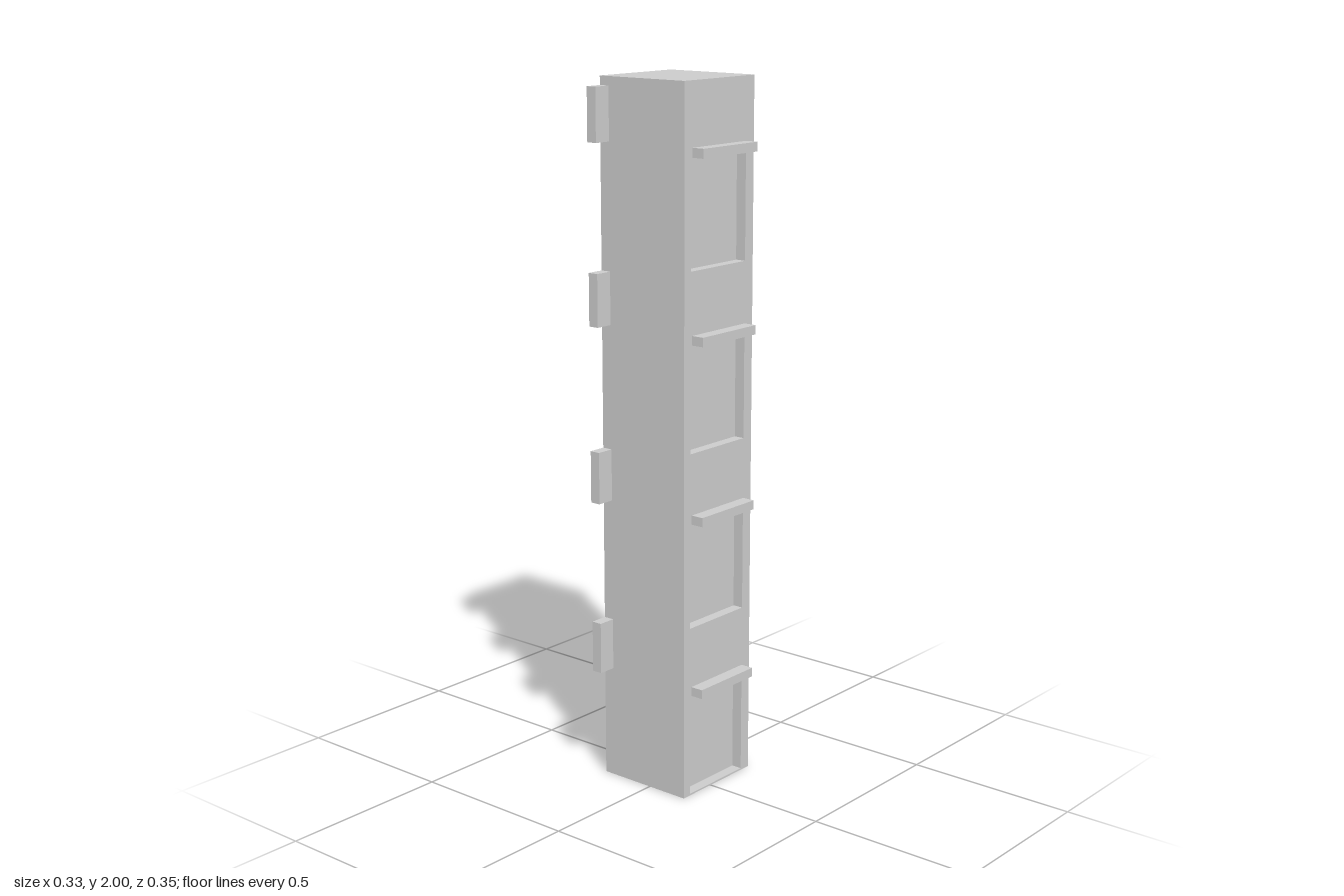
import * as THREE from 'three';

const W = 0.294, D = 0.293, H = 2;         // tower body
const CX = -0.02, CZ = -0.0265;            // body centre
const STOREYS = 4, STEP = 0.5, RECESS = 0.031;
const DOOR_Z = -0.023, DOOR_W = 0.232;

export function createModel() {
  const model = new THREE.Group();
  const solid = new THREE.MeshStandardMaterial({ color: 0xcccccc, flatShading: true });
  const open = new THREE.MeshStandardMaterial({ color: 0xcccccc, flatShading: true, side: THREE.DoubleSide });

  const add = (parent, name, geometry, material, x = 0, y = 0, z = 0) => {
    const mesh = new THREE.Mesh(geometry, material);
    mesh.name = name;
    mesh.position.set(x, y, z);
    parent.add(mesh);
    return mesh;
  };

  // A flat wall facing local +z, with rectangular recesses sunk into it
  const addWall = (name, width, dist, angle, openings = [], recessName = '') => {
    const wall = new THREE.Group();
    wall.name = name;
    wall.rotation.y = angle;
    wall.position.set(CX + Math.sin(angle) * dist, 0, CZ + Math.cos(angle) * dist);
    const rect = (Type, x0, x1, y0, y1) => new Type([
      new THREE.Vector2(x0, y0), new THREE.Vector2(x1, y0),
      new THREE.Vector2(x1, y1), new THREE.Vector2(x0, y1)]);
    const shape = rect(THREE.Shape, -width / 2, width / 2, 0, H);
    for (const { x, w, y0, y1 } of openings) {
      shape.holes.push(rect(THREE.Path, x - w / 2, x + w / 2, y0, y1));
      // Lining: a box without its outward face
      const lining = new THREE.BoxGeometry(w, y1 - y0, RECESS);
      const index = Array.from(lining.index.array);
      index.splice(24, 6);
      lining.setIndex(index);
      lining.clearGroups();
      add(wall, recessName, lining, open, x, (y0 + y1) / 2, -RECESS / 2);
    }
    add(wall, name + 'Face', new THREE.ShapeGeometry(shape), solid);
    model.add(wall);
  };

  // Doorways repeat on both sides, windows on the back
  const doors = (sign) => Array.from({ length: STOREYS }, (_, i) => ({
    x: sign * (DOOR_Z - CZ), w: DOOR_W, y0: Math.max(i * STEP, 0.005), y1: i * STEP + 0.3 }));
  const windows = Array.from({ length: STOREYS }, (_, i) => ({
    x: 0, w: 0.23, y0: i * STEP + 0.327, y1: i * STEP + 0.975 - 0.5 }));

  addWall('frontWall', W, D / 2, 0);
  addWall('leftWall', D, W / 2, Math.PI / 2, doors(-1), 'leftDoorRecess');
  addWall('rightWall', D, W / 2, -Math.PI / 2, doors(1), 'rightDoorRecess');
  addWall('backWall', W, D / 2, Math.PI, windows, 'windowRecess');

  // Roof and base
  add(model, 'roof', new THREE.PlaneGeometry(W, D).rotateX(-Math.PI / 2), solid, CX, H, CZ);
  add(model, 'base', new THREE.PlaneGeometry(W, D).rotateX(Math.PI / 2), solid, CX, 0, CZ);

  // Ledges over the left doorways and fins on the front right corner
  const ledge = new THREE.BoxGeometry(0.038, 0.026, 0.227);
  const fin = new THREE.BoxGeometry(0.031, 0.148, 0.052);
  for (let i = 0; i < STOREYS; i++) {
    add(model, 'doorLedge', ledge, solid, CX + W / 2 + 0.019, i * STEP + 0.313, -0.026);
    add(model, 'cornerFin', fin, solid, CX - W / 2 + 0.0155, i * STEP + 0.401, CZ + D / 2 + 0.026);
  }
  return model;
}
